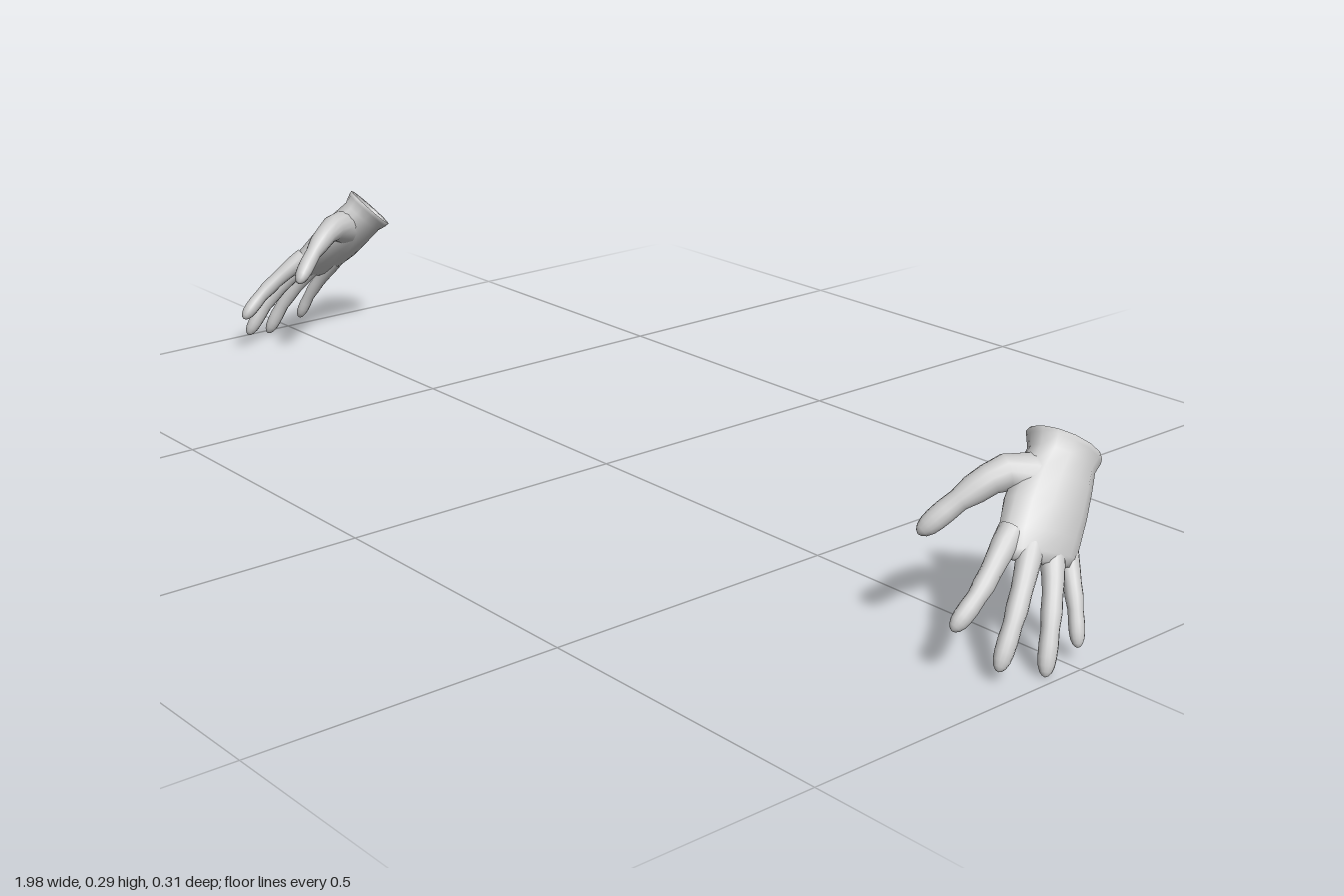
import * as THREE from 'three';

const V = (p) => new THREE.Vector3(...p);
const SIDES = 14;

const material = new THREE.MeshStandardMaterial({ color: 0xcccccc, side: THREE.DoubleSide });

// Skin a row of oval rings {c, a, d, w, t, curl}; side -1 gives the mirrored hand.
function loft(rings, side) {
  const pos = [], idx = [];
  rings.forEach(({ c, a, d, w, t, curl = 0 }) => {
    for (let k = 0; k < SIDES; k++) {
      const ang = (k / SIDES) * Math.PI * 2;
      const p = c.clone()
        .addScaledVector(a, w * Math.cos(ang))
        .addScaledVector(d, t * Math.sin(ang) - curl * Math.cos(ang) ** 2);
      pos.push(p.x * side, p.y, p.z);
    }
  });
  for (let i = 0; i < rings.length - 1; i++) {
    for (let k = 0; k < SIDES; k++) {
      const n = (k + 1) % SIDES;
      const p = i * SIDES + k, q = i * SIDES + n, r = p + SIDES, s = q + SIDES;
      if (side > 0) idx.push(p, r, q, q, r, s);
      else idx.push(p, q, r, q, s, r);
    }
  }
  const g = new THREE.BufferGeometry();
  g.setAttribute('position', new THREE.Float32BufferAttribute(pos, 3));
  g.setIndex(idx);
  g.computeVertexNormals();
  return g;
}

// Palm and cuff: centre, across direction (little finger to index), half width, half thickness, curl
const BODY = [
  [[0.866, 0.242, -0.101], [-0.05, 0.065, 0.093], 0.046, 0.030, 0],
  [[0.860, 0.255, -0.111], [-0.05, 0.065, 0.093], 0.054, 0.038, 0],
  [[0.858, 0.257, -0.112], [-0.05, 0.065, 0.093], 0.059, 0.043, 0],
  [[0.861, 0.251, -0.108], [-0.05, 0.065, 0.093], 0.058, 0.042, 0],
  [[0.866, 0.239, -0.098], [-0.05, 0.063, 0.094], 0.053, 0.036, 0],
  [[0.876, 0.219, -0.075], [-0.05, 0.055, 0.097], 0.060, 0.036, 0.004],
  [[0.892, 0.190, -0.045], [-0.045, 0.047, 0.100], 0.066, 0.032, 0.009],
  [[0.908, 0.163, -0.018], [-0.042, 0.038, 0.104], 0.066, 0.025, 0.010],
  [[0.919, 0.143, -0.002], [-0.04, 0.033, 0.105], 0.062, 0.019, 0.008],
  [[0.924, 0.134, 0.005], [-0.04, 0.033, 0.105], 0.053, 0.012, 0.006],
  [[0.925, 0.132, 0.007], [-0.04, 0.033, 0.105], 0.005, 0.002, 0],
];

function palmRings() {
  const palmAxis = V([0.3, -0.72, 0.62]);
  return BODY.map(([c, across, w, t, curl]) => {
    const a = V(across).normalize();
    const d = a.clone().cross(palmAxis).normalize();
    return { c: V(c), a, d, w, t, curl };
  });
}

// Digits: path from inside the palm to the tip, root radius, tip radius, back-of-hand direction
const BACK = [0.89, 0.41, 0.22];
const DIGITS = {
  indexFinger: [[[0.887, 0.175, 0.025], [0.897, 0.150, 0.060], [0.907, 0.112, 0.108], [0.905, 0.071, 0.155]], 0.018, 0.0135, BACK],
  middleFinger: [[[0.905, 0.165, 0.002], [0.921, 0.137, 0.028], [0.944, 0.082, 0.076], [0.956, 0.019, 0.118]], 0.018, 0.0135, BACK],
  ringFinger: [[[0.912, 0.155, -0.026], [0.933, 0.127, -0.011], [0.964, 0.070, 0.025], [0.985, 0.003, 0.056]], 0.0175, 0.013, BACK],
  littleFinger: [[[0.910, 0.148, -0.059], [0.933, 0.117, -0.047], [0.960, 0.073, -0.030], [0.981, 0.023, -0.015]], 0.0165, 0.011, BACK],
  thumb: [[[0.872, 0.220, -0.065], [0.841, 0.235, -0.015], [0.819, 0.211, 0.037], [0.788, 0.158, 0.101]], 0.034, 0.016, [0.6, 0.6, 0.5]],
};

// Position along the digit and swelling there: joints bulge, tip rounds off
const SWELL = [[0, 1], [0.15, 1.04], [0.3, 0.98], [0.42, 0.95], [0.54, 1.04], [0.66, 0.95], [0.77, 1.01],
  [0.86, 0.97], [0.92, 0.86], [0.965, 0.63], [0.99, 0.34], [1, 0.03]];

function digitRings([path, r0, r1, back]) {
  const curve = new THREE.CatmullRomCurve3(path.map(V));
  return SWELL.map(([u, swell]) => {
    const f = curve.getTangentAt(u);
    const a = f.clone().cross(V(back)).normalize();
    const d = a.clone().cross(f).normalize();
    const r = THREE.MathUtils.lerp(r0, r1, Math.min(1, u * 1.5)) * swell;
    return { c: curve.getPointAt(u), a, d, w: r * 1.05, t: r * 0.95 };
  });
}

function glove(side, name) {
  const group = new THREE.Group();
  group.name = name;
  const add = (partName, rings) => {
    const mesh = new THREE.Mesh(loft(rings, side), material);
    mesh.name = partName;
    group.add(mesh);
  };
  add('palmAndCuff', palmRings());
  for (const [partName, spec] of Object.entries(DIGITS)) add(partName, digitRings(spec));
  return group;
}

export function createModel() {
  const model = new THREE.Group();
  model.name = 'gloves';
  model.add(glove(1, 'leftGlove'), glove(-1, 'rightGlove'));
  return model;
}
